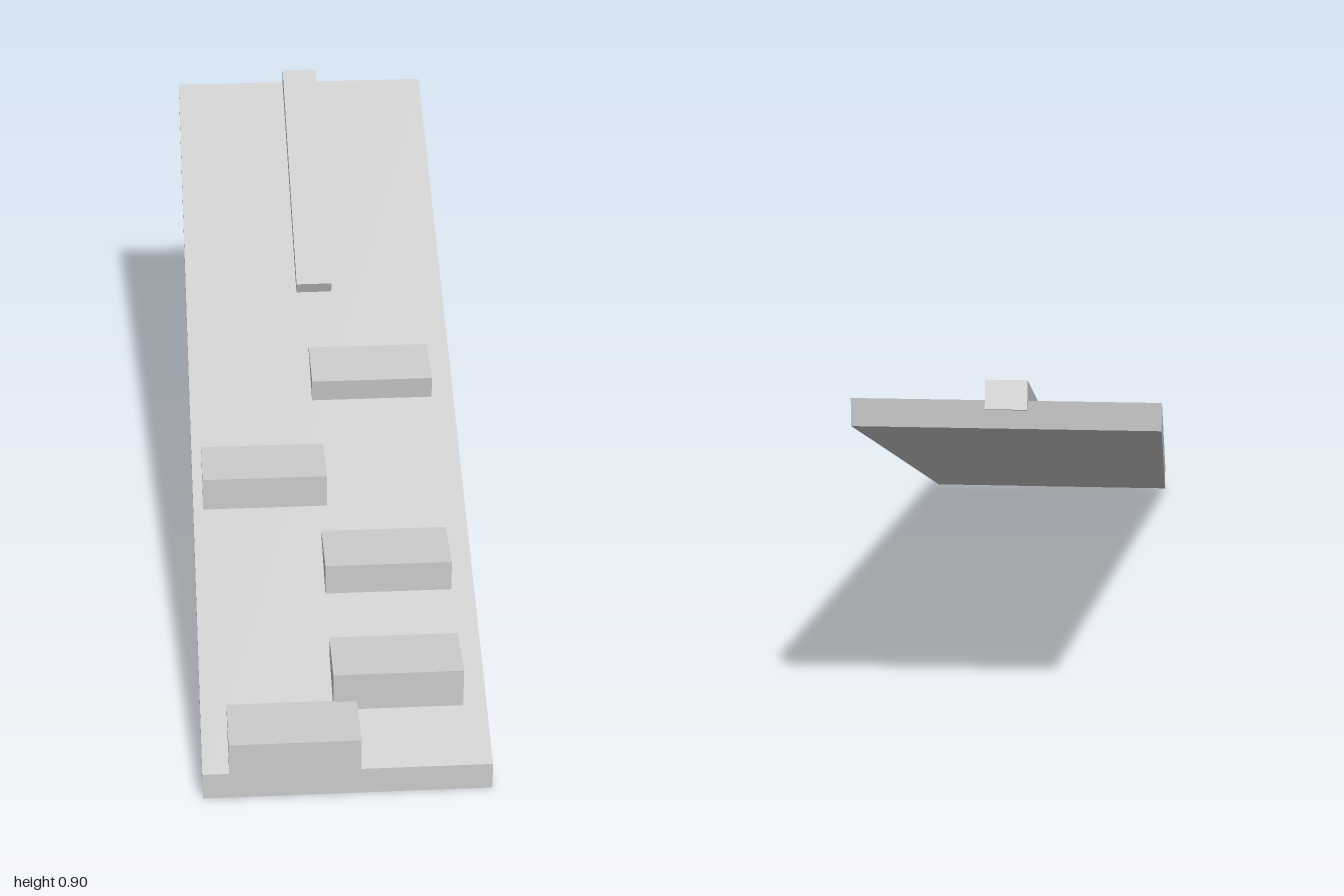
import * as THREE from 'three';

const material = new THREE.MeshStandardMaterial({ color: 0xcccccc, flatShading: true });

// Height of the ramp's upper surface at depth z
const rampTop = (z) => 0.067 + 0.3995 * (1 - z);

// Extrudes a side profile of [z, y] points across the width x0..x1
function prism(name, profile, x0, x1) {
  const shape = new THREE.Shape(profile.map(([z, y]) => new THREE.Vector2(-z, y)));
  const geometry = new THREE.ExtrudeGeometry(shape, { depth: x1 - x0, bevelEnabled: false });
  geometry.rotateY(Math.PI / 2).translate(x0, 0, 0);
  const mesh = new THREE.Mesh(geometry, material);
  mesh.name = name;
  return mesh;
}

export function createModel() {
  const model = new THREE.Group();
  model.name = 'steppedRamp';

  // Sloping slab with upright ends
  model.add(prism('rampSlab', [[1, 0], [-0.99, 0.8], [-0.99, rampTop(-0.99)], [1, rampTop(1)]], -0.327, 0.327));

  // Steps partly sunk into the slab: x0, front z, back z, front height, back height, lean of the front face
  const steps = [
    [-0.267, 1.0, 0.85, 0.147, 0.147, 0],
    [-0.024, 0.855, 0.708, 0.222, 0.222, 0],
    [-0.024, 0.56, 0.41, 0.32, 0.32, 0],
    [-0.303, 0.325, 0.175, 0.42, 0.42, 0],
    [-0.024, 0.034, -0.116, 0.513, 0.525, 0.009],
  ];
  steps.forEach(([x0, front, back, frontY, backY, lean], i) => {
    const base = front - lean;
    model.add(prism('step' + (i + 1), [
      [base, rampTop(base) - 0.02],
      [back, rampTop(back) - 0.02],
      [back, backY],
      [front, frontY],
    ], x0, x0 + 0.297));
  });

  // Long rail lying along the slope, overhanging the upper end
  model.add(prism('rail', [[-0.309, 0.557], [-1.0, 0.845], [-0.977, 0.903], [-0.285, 0.615]], -0.045, 0.044));

  return model;
}
